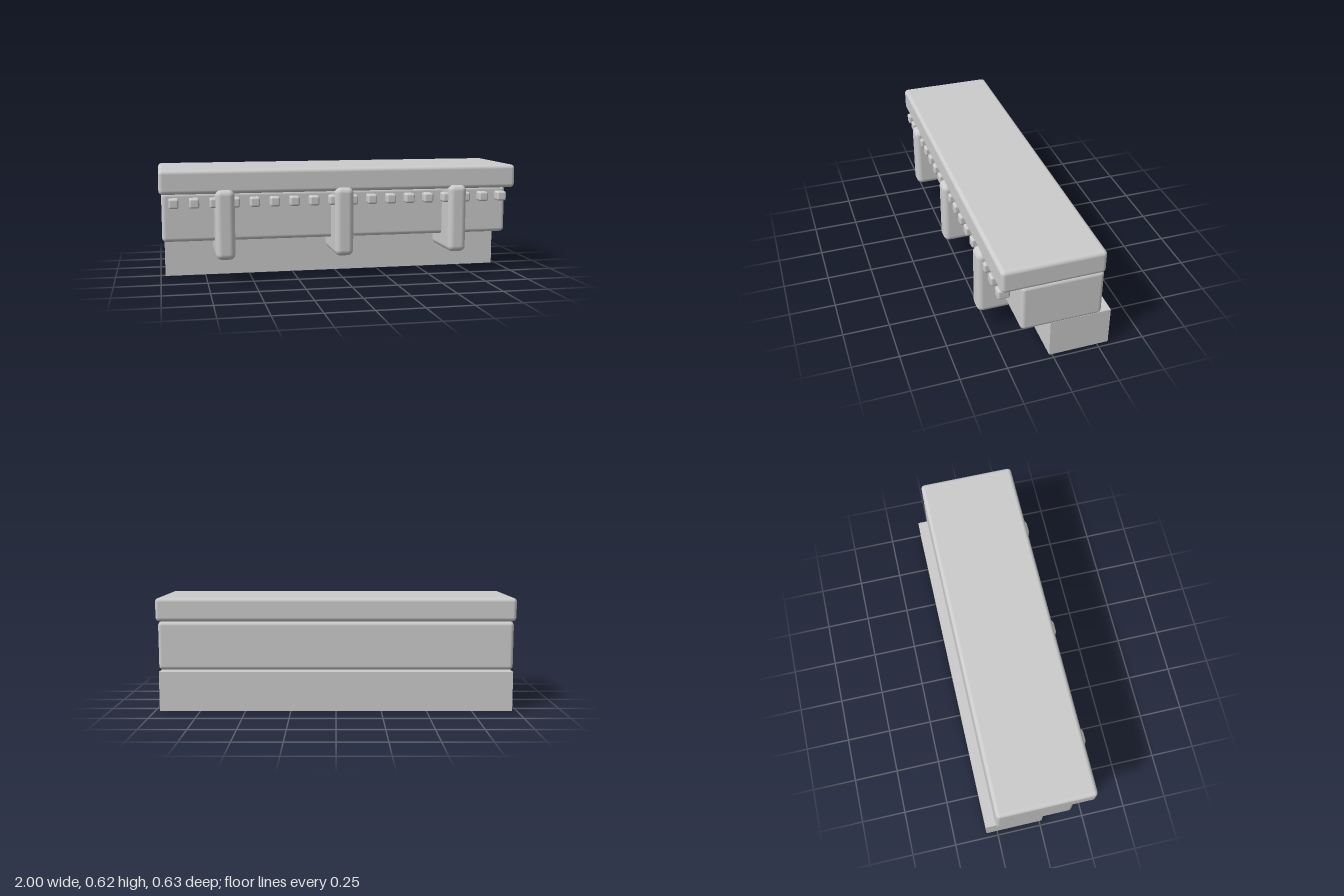
import * as THREE from 'three';
import { RoundedBoxGeometry } from 'three/addons/geometries/RoundedBoxGeometry.js';

export function createModel() {
  const model = new THREE.Group();
  model.name = 'corniceMoulding';
  const stone = new THREE.MeshStandardMaterial({ color: 0xcccccc });
  stone.name = 'paleGreyStone';

  // Box given by its x centre, width and y / z ranges; radius 0 keeps sharp edges
  function block(name, x, width, [y0, y1], [z0, z1], radius = 0, parent = model) {
    const size = [width, y1 - y0, z1 - z0];
    const geometry = radius
      ? new RoundedBoxGeometry(...size, 4, radius)
      : new THREE.BoxGeometry(...size);
    const mesh = new THREE.Mesh(geometry, stone);
    mesh.name = name;
    mesh.position.set(x, (y0 + y1) / 2, (z0 + z1) / 2);
    parent.add(mesh);
  }

  // Stacked courses
  block('base', 0, 1.95, [0, 0.218], [-0.313, 0.015]);
  block('frieze', 0, 1.974, [0.219, 0.489], [-0.257, 0.177], 0.022);
  block('topSlab', 0, 2, [0.49, 0.62], [-0.257, 0.285], 0.022);

  // Three deep brackets carrying the slab
  const brackets = new THREE.Group();
  brackets.name = 'brackets';
  for (const x of [-0.652, 0, 0.652]) {
    block('bracket', x, 0.104, [0.132, 0.512], [-0.04, 0.313], 0.032, brackets);
  }
  model.add(brackets);

  // Row of small dentils below the slab
  const dentils = new THREE.Group();
  dentils.name = 'dentils';
  const count = 18;
  for (let i = 0; i < count; i++) {
    const x = -0.923 + (1.846 * i) / (count - 1);
    block('dentil', x, 0.053, [0.415, 0.468], [0.222, 0.286], 0.011, dentils);
  }
  model.add(dentils);

  return model;
}
